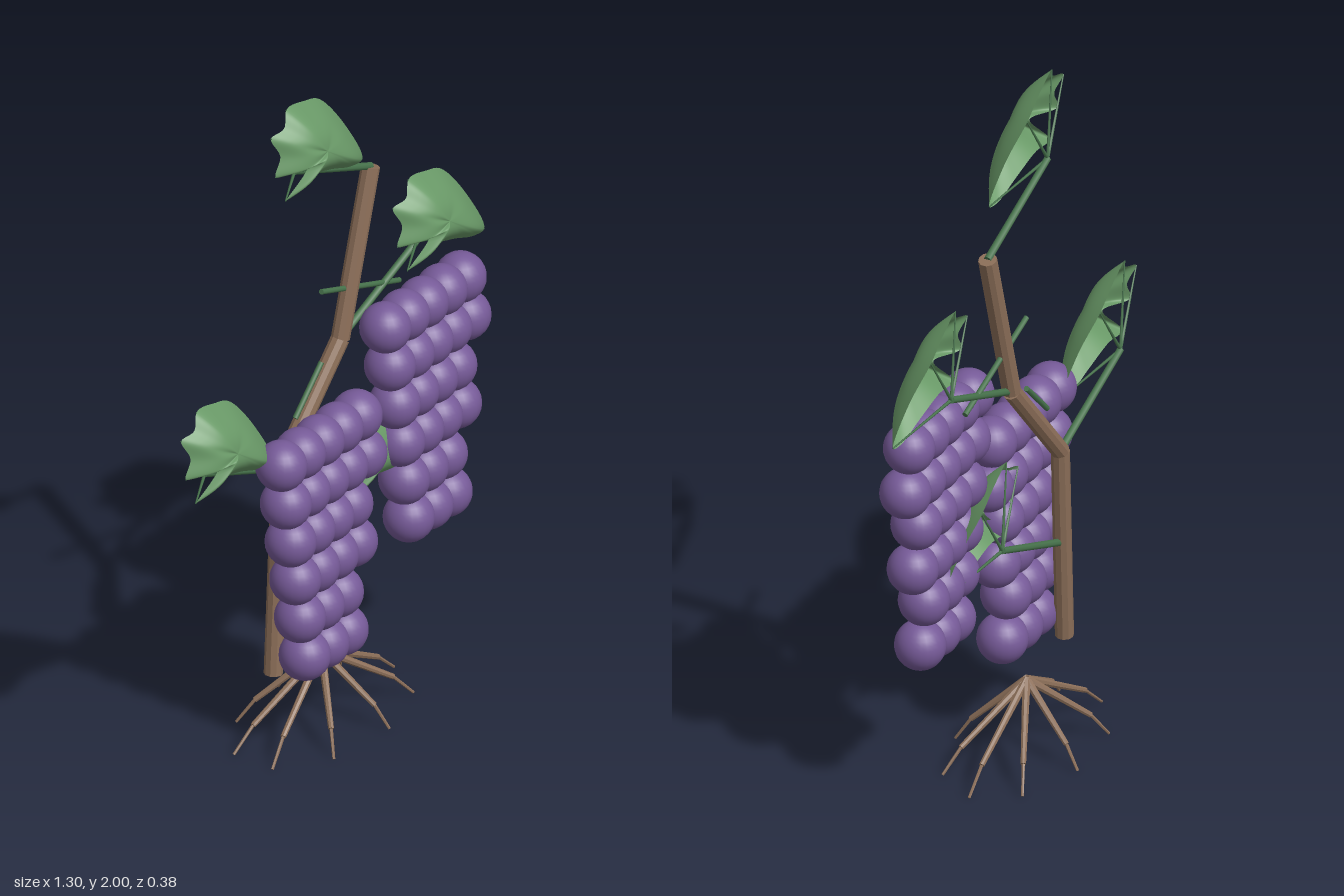
import * as THREE from 'three';

const V = (x, y, z = 0) => new THREE.Vector3(x, y, z);
const mat = (name, color, extra = {}) => {
  const m = new THREE.MeshStandardMaterial({ color, ...extra });
  m.name = name;
  return m;
};

export function createModel() {
  const model = new THREE.Group();
  model.name = 'grapeVine';
  const bark = mat('barkBrown', 0x8b6e58, { flatShading: true });
  const twig = mat('twigGreen', 0x47734c);
  const blade = mat('leafGreen', 0x6a9a68, { side: THREE.DoubleSide });
  const skin = mat('grapePurple', 0x765a98);

  const add = (parent, name, geometry, material) => {
    const mesh = new THREE.Mesh(geometry, material);
    mesh.name = name;
    parent.add(mesh);
    return mesh;
  };
  // Tapered rod running from a to b
  const rod = (parent, name, a, b, ra, rb, material, sides = 8) => {
    const d = b.clone().sub(a);
    const mesh = add(parent, name, new THREE.CylinderGeometry(rb, ra, d.length(), sides), material);
    mesh.position.copy(a).addScaledVector(d, 0.5);
    mesh.quaternion.setFromUnitVectors(V(0, 1, 0), d.normalize());
    return mesh;
  };

  // Woody stem
  const joints = [V(-0.225, 0.24), V(-0.195, 0.545, -0.01), V(-0.165, 0.845, -0.02), V(0.075, 1.145), V(0.21, 1.62)];
  for (let i = 0; i < joints.length - 1; i++) {
    rod(model, 'stem', joints[i], joints[i + 1], 0.026, 0.026, bark, 10);
  }

  // Nine bent roots spread over an ellipse
  const crown = V(-0.01, 0.21);
  for (let i = 0; i < 9; i++) {
    const a = (i * Math.PI * 2) / 9;
    const at = (k, y) => V(-0.01 + 0.325 * k * Math.cos(a), y, -0.19 * k * Math.sin(a));
    const elbow = at(0.78, 0.07);
    rod(model, 'root', crown, elbow, 0.012, 0.008, bark);
    rod(model, 'rootTip', elbow, at(1, 0.005), 0.005, 0.004, bark, 6);
  }

  // Leaf blade: a domed fan from its crest to a lobed rim, relative to the stalk end
  const crest = V(0.01, 0.095, 0.105);
  const rim = [
    [0.23, -0.05, 0.055], [0.185, 0.07, 0.03], [0.116, 0.17, 0], [0.03, 0.21, 0.01], [-0.07, 0.233, 0.025],
    [-0.1, 0.195, 0.04], [-0.145, 0.18, 0.03], [-0.13, 0.125, 0.05], [-0.15, 0.07, 0.05], [-0.055, 0.07, 0.085],
    [-0.12, -0.015, 0.06], [-0.01, 0.0, 0.045], [0.1, -0.025, 0.045], [0.19, -0.055, 0.05],
  ].map(p => V(...p));
  const rimCurve = new THREE.CatmullRomCurve3(rim, true, 'centripetal');
  const rings = 10, around = 112;
  const pos = [], index = [];
  for (let i = 0; i <= rings; i++) {
    const s = i / rings;
    for (let j = 0; j < around; j++) {
      const p = crest.clone().lerp(rimCurve.getPoint(j / around), s);
      p.z += 0.025 * Math.sin(Math.PI * s);
      pos.push(p.x, p.y, p.z);
      if (i < rings) {
        const a = i * around + j, b = i * around + ((j + 1) % around);
        index.push(a, a + around, b + around);
        if (i > 0) index.push(a, b + around, b);
      }
    }
  }
  const bladeGeometry = new THREE.BufferGeometry();
  bladeGeometry.setAttribute('position', new THREE.Float32BufferAttribute(pos, 3));
  bladeGeometry.setIndex(index);
  bladeGeometry.computeVertexNormals();

  // Leaves on stalks: [joint, side the stalk leans to]
  for (const [joint, side] of [[4, -1], [3, 1], [2, -1], [1, 1]]) {
    const start = joints[joint];
    const end = start.clone().add(V(0.34 * side, 0.143, 0));
    rod(model, 'leafStalk', start, end, 0.011, 0.01, twig);
    const leaf = new THREE.Group();
    leaf.name = 'leaf';
    leaf.position.copy(end);
    add(leaf, 'leafBlade', bladeGeometry, blade);
    for (const k of [0, 2, 4, 6, 8, 10]) {
      rod(leaf, 'leafVein', V(0, 0), rim[k], 0.005, 0.002, twig, 6);
    }
    model.add(leaf);
  }

  // Two bunches of grapes, each with six slanting rows
  const grape = new THREE.SphereGeometry(0.071, 24, 16);
  for (const [x, y, stalkY] of [[-0.295, 0.95, 1.11], [0.17, 1.163, 1.33]]) {
    const bunch = new THREE.Group();
    bunch.name = 'grapeBunch';
    [5, 5, 4, 4, 3, 3].forEach((count, row) => {
      for (let i = 0; i < count; i++) {
        add(bunch, 'grape', grape, skin).position.set(x + 0.021 * row + 0.084 * i, y - 0.128 * row, 0.08);
      }
    });
    rod(bunch, 'bunchStalk', V(-0.01, stalkY), V(x + 0.168, y + 0.04), 0.008, 0.008, twig);
    model.add(bunch);
  }
  return model;
}
